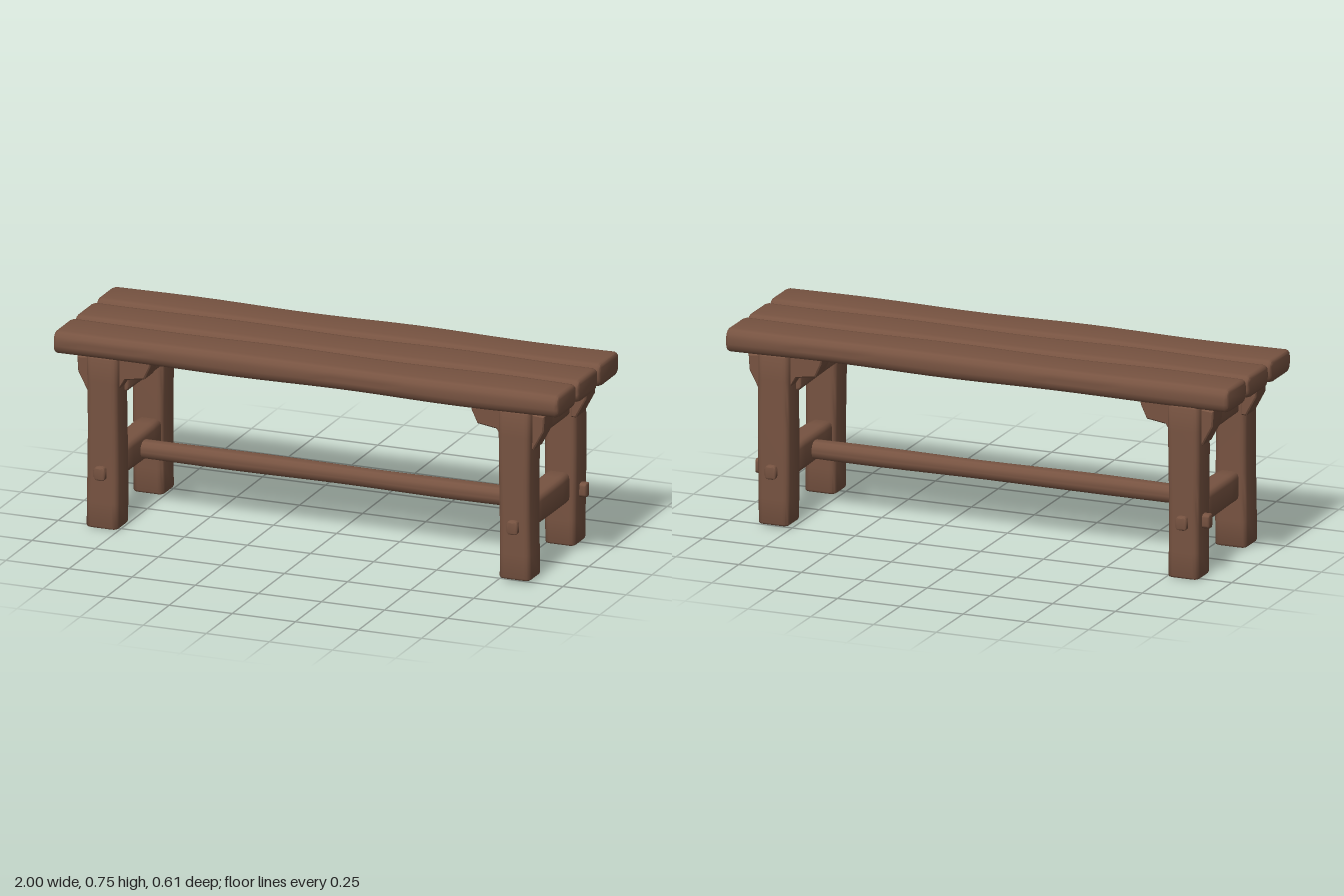
import * as THREE from 'three';
import { toCreasedNormals } from 'three/addons/utils/BufferGeometryUtils.js';

const wood = new THREE.MeshStandardMaterial({ color: 0x775341 });
wood.name = 'brownWood';

// Hand-hewn beam filling the given ranges: softened edges and a slight waver along its length
function beam(name, [x0, x1], [y0, y1], [z0, z1], axis, r = 0.012, waver = 0.003, seed = 0) {
  const sx = x1 - x0, sy = y1 - y0, sz = z1 - z0;
  const [w, h, len] = axis === 'x' ? [sz, sy, sx] : axis === 'y' ? [sx, sz, sy] : [sx, sy, sz];
  const b = r * 0.6, a = w / 2 - b, c = h / 2 - b;
  const s = new THREE.Shape();
  s.moveTo(-a + r, -c);
  s.lineTo(a - r, -c);
  s.quadraticCurveTo(a, -c, a, -c + r);
  s.lineTo(a, c - r);
  s.quadraticCurveTo(a, c, a - r, c);
  s.lineTo(-a + r, c);
  s.quadraticCurveTo(-a, c, -a, c - r);
  s.lineTo(-a, -c + r);
  s.quadraticCurveTo(-a, -c, -a + r, -c);
  let geo = new THREE.ExtrudeGeometry(s, {
    depth: len - 2 * b, steps: Math.max(2, Math.round(len * 10)), curveSegments: 3,
    bevelSize: b, bevelThickness: b, bevelSegments: 2,
  });
  geo.translate(0, 0, b - len / 2);
  const p = geo.attributes.position;
  for (let i = 0; i < p.count; i++) {
    const x = p.getX(i), y = p.getY(i), t = p.getZ(i) * 8 + seed;
    p.setX(i, x + waver * Math.sin(t + (x > 0 ? 2 : 0)));
    p.setY(i, y + waver * 0.6 * Math.sin(t * 0.8 + (y > 0 ? 3 : 1)));
  }
  if (axis === 'x') geo.rotateY(Math.PI / 2);
  if (axis === 'y') geo.rotateX(-Math.PI / 2);
  geo = toCreasedNormals(geo, 0.8);
  geo.translate((x0 + x1) / 2, (y0 + y1) / 2, (z0 + z1) / 2);
  const mesh = new THREE.Mesh(geo, wood);
  mesh.name = name;
  return mesh;
}

// Block cut to a side profile in x and y, spanning a range of z
function bracket(name, points, z0, z1) {
  const b = 0.005;
  const geo = new THREE.ExtrudeGeometry(new THREE.Shape(points.map(([x, y]) => new THREE.Vector2(x, y))), {
    depth: z1 - z0 - 2 * b, bevelSize: b, bevelOffset: -b, bevelThickness: b, bevelSegments: 1,
  });
  geo.translate(0, 0, z0 + b);
  const mesh = new THREE.Mesh(toCreasedNormals(geo, 0.5), wood);
  mesh.name = name;
  return mesh;
}

const span = (s, a, b) => (s > 0 ? [a, b] : [-b, -a]);

export function createModel() {
  const bench = new THREE.Group();
  bench.name = 'bench';

  // Three seat planks with narrow gaps
  [[0.108, 0.302], [-0.098, 0.1], [-0.296, -0.104]].forEach((z, i) =>
    bench.add(beam('seatPlank', [-1, 0.998], [0.656, 0.744], z, 'x', 0.022, 0.003, i * 2.1)));

  for (const sx of [-1, 1]) {
    const end = new THREE.Group();
    end.name = sx > 0 ? 'leftTrestle' : 'rightTrestle';
    bench.add(end);

    // Cross rails joining the two legs
    end.add(beam('upperRail', span(sx, 0.74, 0.855), [0.512, 0.655], [-0.2, 0.2], 'z'));
    end.add(beam('lowerRail', span(sx, 0.765, 0.855), [0.177, 0.292], [-0.2, 0.2], 'z', 0.015));

    for (const sz of [-1, 1]) {
      end.add(beam('leg', span(sx, 0.755, 0.878), [sx > 0 ? 0.01 : 0, 0.662],
        span(sz, 0.159, 0.282), 'y', 0.014, 0.002, sx + sz * 2));

      // Shaped brackets under the seat, outside and inside each leg
      const [z0, z1] = span(sz, 0.158, 0.25);
      const outer = [[0.86, 0.65], [0.926, 0.645], [0.922, 0.585], [0.882, 0.51], [0.86, 0.51]];
      const inner = [[0.77, 0.66], [0.632, 0.66], [0.637, 0.635], [0.66, 0.586], [0.735, 0.575], [0.77, 0.52]];
      end.add(bracket('outerBracket', outer.map(([x, y]) => [x * sx, y]), z0, z1));
      end.add(bracket('innerBracket', inner.map(([x, y]) => [x * sx, y]), z0, z1));

      // Peg through the face of the leg
      end.add(beam('facePeg', span(sx, 0.795, 0.84), [0.19, 0.243], span(sz, 0.25, 0.302), 'z', 0.01, 0));
    }
    // Peg through the outer side of the rear leg
    end.add(beam('sidePeg', span(sx, 0.85, 0.904), [0.188, 0.243], [-0.239, -0.202], 'x', 0.008, 0));
  }

  // Long stretcher between the lower rails
  bench.add(beam('stretcher', [-0.8, 0.8], [0.197, 0.265], [-0.036, 0.036], 'x', 0.02, 0.002, 1));
  return bench;
}
